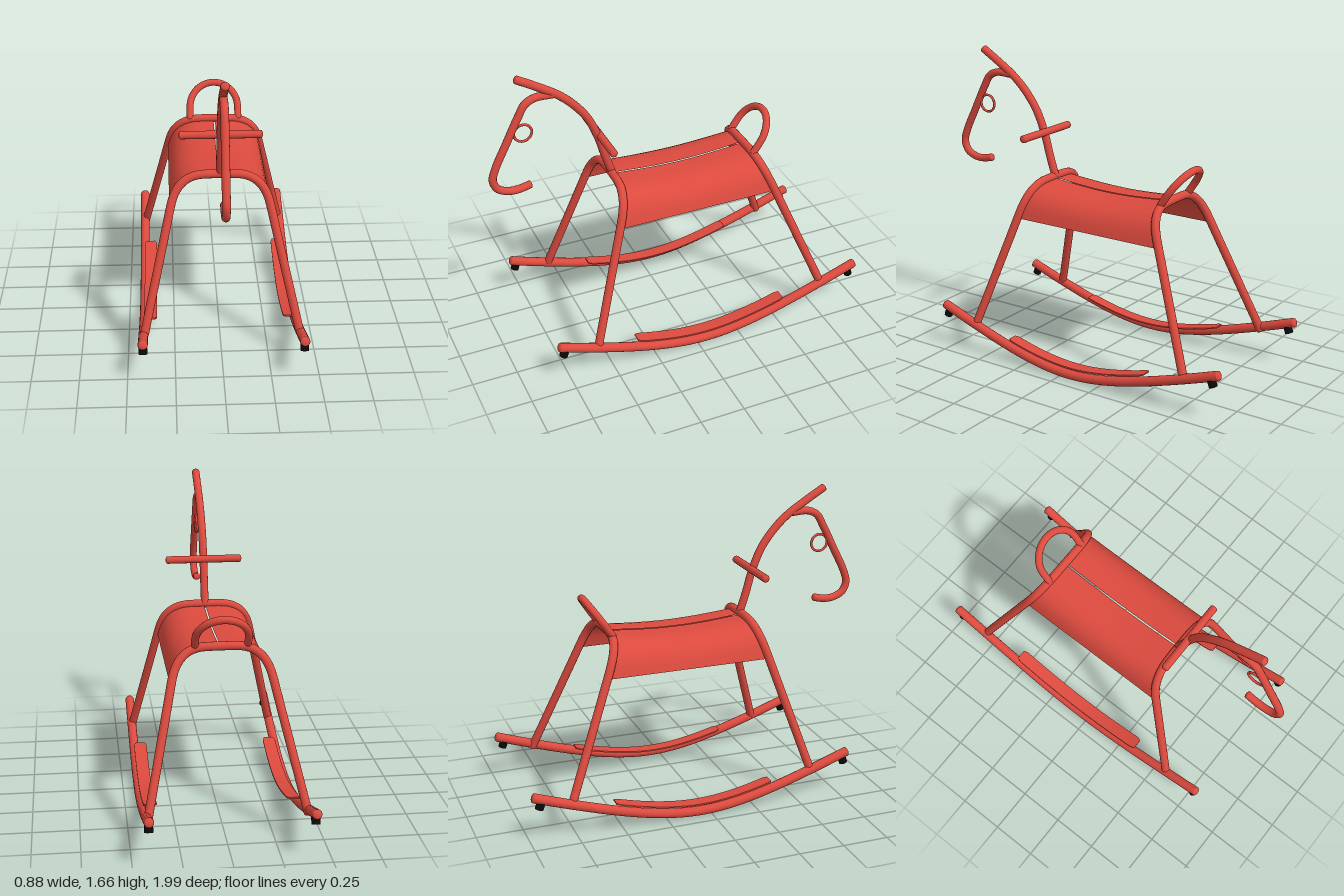
import * as THREE from 'three';

export function createModel() {
  const red = new THREE.MeshStandardMaterial({ color: 0xdc4a3e });
  red.name = 'red paint';
  red.side = THREE.DoubleSide;
  const black = new THREE.MeshStandardMaterial({ color: 0x0a0a0a });
  black.name = 'black rubber';

  const model = new THREE.Group();
  model.name = 'rockingHorse';
  const V = (x, y, z) => new THREE.Vector3(x, y, z);

  const add = (parent, name, geometry, material = red) => {
    const mesh = new THREE.Mesh(geometry, material);
    mesh.name = name;
    parent.add(mesh);
    return mesh;
  };

  // Bent steel tube through the points, with softly domed ends
  function tube(name, points, radius, segments = 48) {
    const group = new THREE.Group();
    group.name = name;
    model.add(group);
    const curve = new THREE.CatmullRomCurve3(points, false, 'centripetal');
    add(group, name + 'Tube', new THREE.TubeGeometry(curve, segments, radius, 14));
    for (const t of [0, 1]) {
      const cap = add(group, name + 'Cap', new THREE.SphereGeometry(radius, 14, 8));
      cap.scale.y = 0.5;
      cap.position.copy(curve.getPoint(t));
      cap.quaternion.setFromUnitVectors(V(0, 1, 0), curve.getTangent(t));
    }
    return group;
  }

  // Rocker height along z: rounded in the middle, straighter at the ends
  const rockerY = z => 0.027 + 0.4 * (Math.hypot(z + 0.06, 0.442) - 0.442);

  for (const side of [-1, 1]) {
    const label = side > 0 ? 'left' : 'right';
    const points = [];
    for (let i = 0; i <= 24; i++) {
      const z = 0.8 - (1.775 * i) / 24;
      points.push(V(side * 0.416, rockerY(z), z));
    }
    tube(label + 'Rocker', points, 0.026, 60);

    // Thin curved foot board on the inner side of the rocker
    const board = new THREE.BoxGeometry(0.072, 0.008, 0.885, 2, 1, 40);
    const p = board.attributes.position;
    for (let i = 0; i < p.count; i++) {
      const end = Math.max(0, Math.abs(p.getZ(i)) - 0.43) / 0.0125;
      const z = p.getZ(i) - 0.09;
      p.setXYZ(i, side * 0.381 + p.getX(i) * (1 - 0.25 * end), p.getY(i) + rockerY(z) + 0.034, z);
    }
    board.computeVertexNormals();
    add(model, label + 'FootBoard', board);

    // Rubber stops under both rocker tips
    for (const z of [0.785, -0.948]) {
      const stop = add(model, label + 'RubberStop', new THREE.CylinderGeometry(0.023, 0.023, 0.04, 14), black);
      const slope = 0.4 * (z + 0.06) / Math.hypot(z + 0.06, 0.442);
      stop.rotation.x = -Math.atan(slope);
      stop.position.set(side * 0.416, rockerY(z) - 0.037, z - Math.sign(z) * 0.005);
    }
  }

  // Leg hoops: straight splayed legs with a rounded top, lying in a tilted plane
  const frontZ = y => 0.33 + (0.975 - y) * 0.315;
  const rearZ = y => -0.45 - (0.975 - y) * 0.405;
  const bend = new THREE.QuadraticBezierCurve(
    new THREE.Vector2(0.26, 0.82), new THREE.Vector2(0.225, 0.975), new THREE.Vector2(0.075, 0.975));
  const shoulder = bend.getPoints(8);
  const legLine = [[0.41, 0.17], [0.35, 0.43], [0.29, 0.69]].map(a => new THREE.Vector2(...a));
  const half = [...legLine, ...shoulder];
  for (const [name, zAt] of [['frontLegs', frontZ], ['rearLegs', rearZ]]) {
    const right = half.map(q => V(-q.x, q.y, zAt(q.y)));
    const left = half.map(q => V(q.x, q.y, zAt(q.y))).reverse();
    tube(name, [...right, ...left], 0.023, 100);
  }

  // Seat: two sagging sheets slung between the hoops, split along the middle
  const section = [new THREE.Vector2(0.268, 0.788), ...shoulder, new THREE.Vector2(0.004, 0.975)];
  for (const side of [-1, 1]) {
    const rows = 16, n = section.length, positions = [], index = [];
    for (let j = 0; j <= rows; j++) {
      const v = j / rows;
      for (const q of section) {
        const weight = (q.y - 0.788) / 0.187;
        const y = q.y - weight * (0.008 + 0.024 * Math.sin(Math.PI * v));
        positions.push(side * q.x, y, THREE.MathUtils.lerp(frontZ(q.y), rearZ(q.y), v));
      }
    }
    for (let j = 0; j < rows; j++) {
      for (let i = 0; i < n - 1; i++) {
        const a = j * n + i, b = a + 1, c = a + n, d = c + 1;
        if (side > 0) index.push(a, c, b, b, c, d);
        else index.push(a, b, c, b, d, c);
      }
    }
    // Keep outward faces on the upper side
    for (let i = 0; i < index.length; i += 3) {
      [index[i + 1], index[i + 2]] = [index[i + 2], index[i + 1]];
    }
    const sheet = new THREE.BufferGeometry();
    sheet.setAttribute('position', new THREE.Float32BufferAttribute(positions, 3));
    sheet.setIndex(index);
    sheet.computeVertexNormals();
    add(model, side > 0 ? 'leftSeat' : 'rightSeat', sheet);
  }

  // Neck and forelock in one tube, with the head outline hung from it
  const sidePath = list => list.map(([z, y]) => V(0, y, z));
  tube('neck', sidePath([[0.325, 0.975], [0.362, 1.09], [0.393, 1.2], [0.45, 1.335],
    [0.53, 1.44], [0.61, 1.512], [0.71, 1.577], [0.815, 1.64]]), 0.022, 60);
  tube('head', sidePath([[0.63, 1.517], [0.725, 1.518], [0.78, 1.492], [0.818, 1.43],
    [0.89, 1.29], [0.96, 1.15], [0.977, 1.085], [0.953, 1.03], [0.89, 1.002], [0.835, 1.002], [0.78, 1.014]]), 0.021, 80);

  // Ring eye
  const eye = add(model, 'eye', new THREE.TorusGeometry(0.048, 0.007, 10, 32));
  eye.rotation.y = Math.PI / 2;
  eye.position.set(0, 1.33, 0.8);

  // Hand grip
  tube('handle', [V(-0.205, 1.22, 0.388), V(0, 1.22, 0.388), V(0.205, 1.22, 0.388)], 0.021, 8);

  // Leaning tail loop, which doubles as a backrest
  const loop = [V(-0.137, 0.975, -0.45)];
  for (let i = 0; i <= 16; i++) {
    const a = Math.PI * (1 - i / 16);
    const rise = 0.055 + 0.12 * Math.sin(a);
    loop.push(V(0.137 * Math.cos(a), 0.975 + rise, -0.45 - rise * 0.68));
  }
  loop.push(V(0.137, 0.975, -0.45));
  tube('tailLoop', loop, 0.02, 60);

  return model;
}
